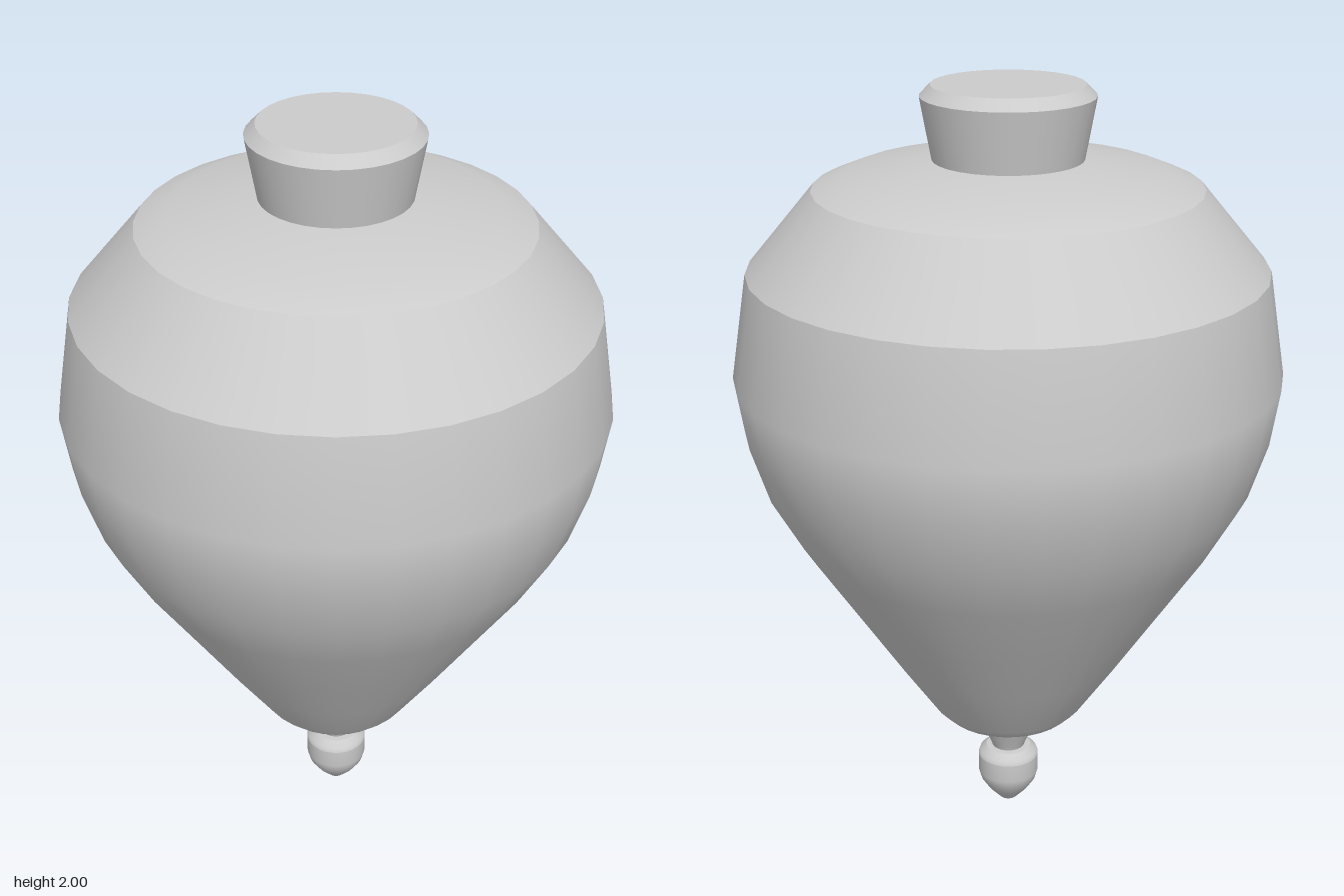
import * as THREE from 'three';

const material = new THREE.MeshStandardMaterial({ color: 0xcccccc });

// Turned part: each section is a smooth profile running upward as [radius, height];
// edges between sections stay sharp.
function turned(name, sections, sides = 32) {
  const part = new THREE.Group();
  part.name = name;
  sections.forEach((section, i) => {
    const points = section.map(([r, y]) => new THREE.Vector2(r, y));
    const mesh = new THREE.Mesh(new THREE.LatheGeometry(points, sides), material);
    mesh.name = `${name}Section${i + 1}`;
    part.add(mesh);
  });
  return part;
}

export function createModel() {
  const top = new THREE.Group();
  top.name = 'spinningTop';

  // Pointed tip the top spins on
  top.add(turned('tip', [
    [[0, 0], [0.025, 0.017], [0.055, 0.05], [0.075, 0.08], [0.082, 0.105], [0.082, 0.155]],
    [[0.082, 0.155], [0.078, 0.167], [0.06, 0.182]],
    [[0.06, 0.182], [0, 0.186]],
  ]));

  // Tapered stem between tip and body
  top.add(turned('stem', [
    [[0.043, 0.18], [0.048, 0.195], [0.071, 0.245]],
    [[0.071, 0.245], [0.074, 0.29]],
  ]));

  // Heavy body: flat underside, flared bowl, bevelled shoulder, shallow dome
  top.add(turned('body', [
    [[0, 0.286], [0.127, 0.286]],
    [[0.127, 0.286], [0.175, 0.303], [0.206, 0.334], [0.31, 0.488], [0.415, 0.65], [0.545, 0.85],
      [0.624, 0.992], [0.671, 1.14], [0.693, 1.284], [0.65, 1.549]],
    [[0.65, 1.549], [0.482, 1.75]],
    [[0.482, 1.75], [0.402, 1.783], [0.185, 1.82], [0, 1.825]],
  ]));

  // Flared knob with a chamfered rim
  top.add(turned('knob', [
    [[0.186, 1.815], [0.215, 1.973]],
    [[0.215, 1.973], [0.188, 2]],
    [[0.188, 2], [0, 2]],
  ]));

  return top;
}
